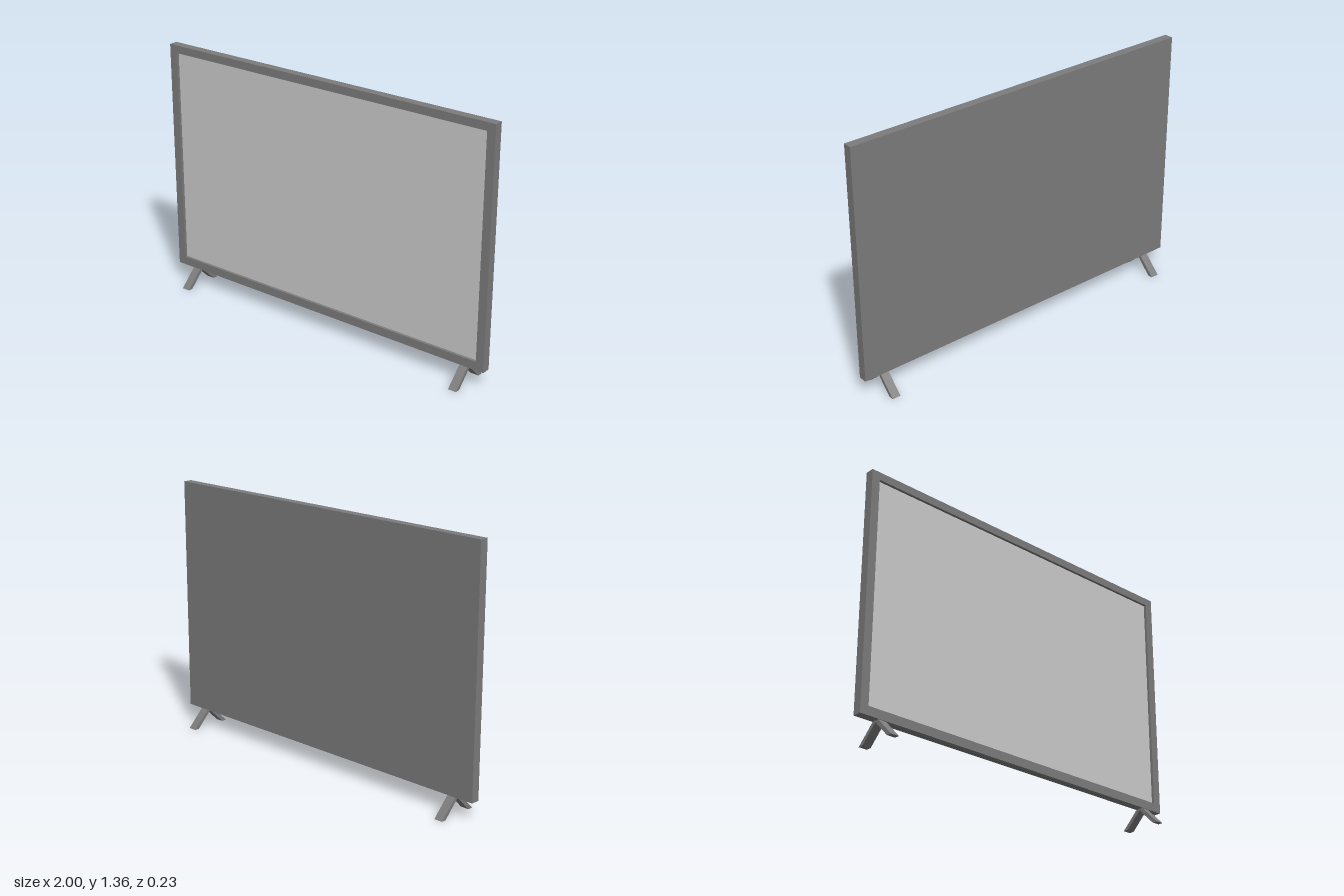
import * as THREE from 'three';

const HALF_DEPTH = 0.0235;

function rectangle(PathType, x, y0, y1) {
  return new PathType([[-x, y0], [x, y0], [x, y1], [-x, y1]].map(([px, py]) => new THREE.Vector2(px, py)));
}

function addMesh(parent, name, geometry, material) {
  const mesh = new THREE.Mesh(geometry, material);
  mesh.name = name;
  parent.add(mesh);
  return mesh;
}

export function createModel() {
  const model = new THREE.Group();
  model.name = 'television';
  const casing = new THREE.MeshStandardMaterial({ color: 0x7c7c7c });
  const glass = new THREE.MeshStandardMaterial({ color: 0xcccccc });
  const recess = 0.015;

  // Bezel: rectangular ring standing proud of the screen
  const outline = rectangle(THREE.Shape, 1, 0.096, 1.363);
  outline.holes.push(rectangle(THREE.Path, 0.955, 0.142, 1.321));
  const bezel = new THREE.ExtrudeGeometry(outline, { depth: HALF_DEPTH * 2, bevelEnabled: false });
  addMesh(model, 'bezel', bezel, casing).position.z = -HALF_DEPTH;

  // Back panel fills the ring, flush with its rear face
  const panelDepth = HALF_DEPTH * 2 - recess - 0.002;
  addMesh(model, 'backPanel', new THREE.BoxGeometry(1.91, 1.179, panelDepth), casing)
    .position.set(0, 0.7315, -HALF_DEPTH + panelDepth / 2);

  // Recessed screen
  addMesh(model, 'screen', new THREE.PlaneGeometry(1.91, 1.179), glass)
    .position.set(0, 0.7315, HALF_DEPTH - recess);

  // Feet: splayed inverted V, profile drawn in depth and height
  const profile = new THREE.Shape(
    [[0.115, 0], [0.019, 0.096], [-0.019, 0.096], [-0.115, 0], [-0.087, 0], [0, 0.087], [0.087, 0]]
      .map(([z, y]) => new THREE.Vector2(z, y)));
  const width = 0.046;
  const footGeometry = new THREE.ExtrudeGeometry(profile, { depth: width, bevelEnabled: false });
  footGeometry.translate(0, 0, -width / 2).rotateY(-Math.PI / 2);
  for (const [name, x] of [['rightFoot', -0.872], ['leftFoot', 0.885]]) {
    addMesh(model, name, footGeometry, casing).position.x = x;
  }
  return model;
}
